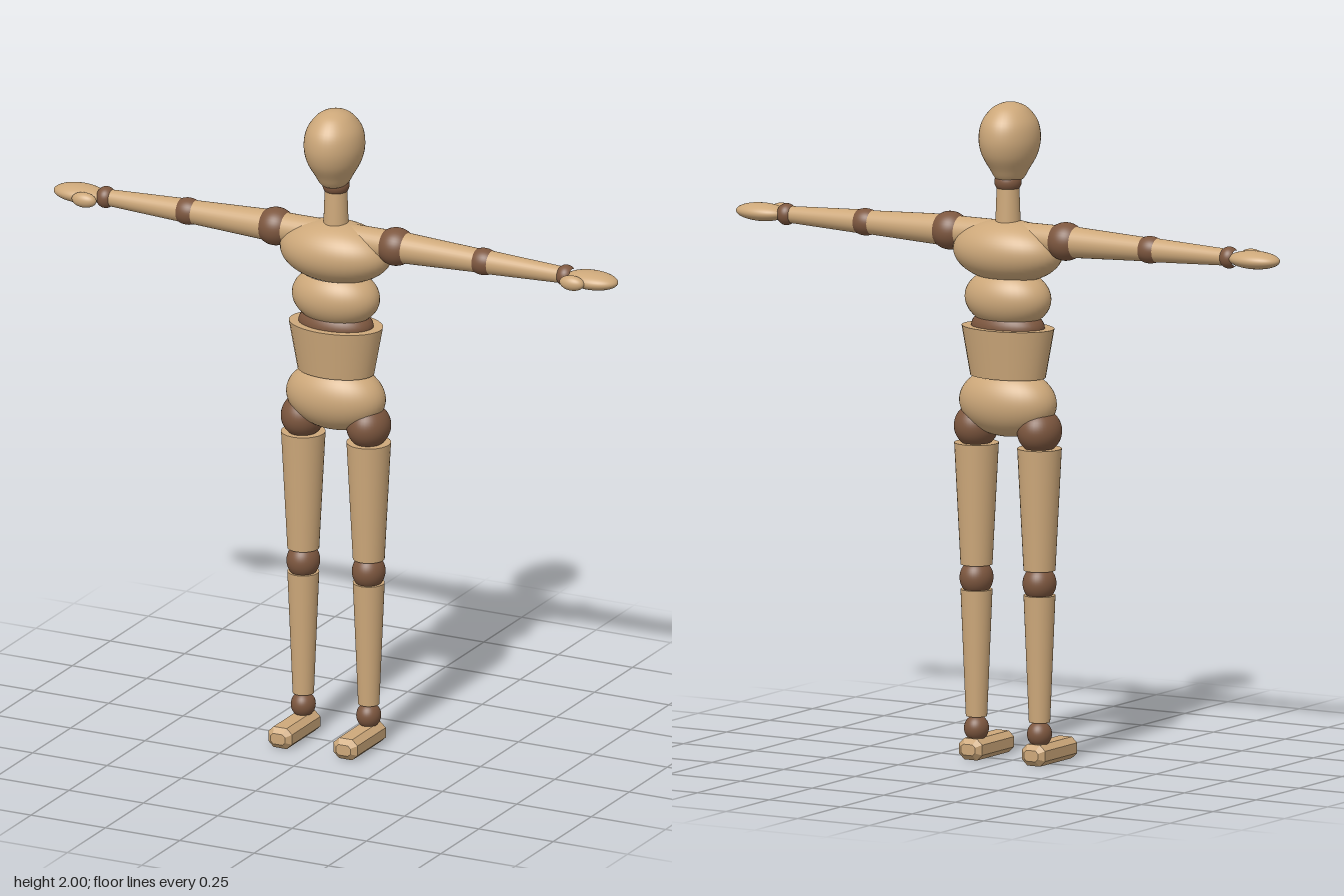
import * as THREE from 'three';

const lightWood = new THREE.MeshStandardMaterial({ color: 0xcda87a });
lightWood.name = 'lightWood';
const darkWood = new THREE.MeshStandardMaterial({ color: 0x7d573f });
darkWood.name = 'darkWood';

const AXIS_Z = -0.028; // depth of the body's centre line

function add(parent, name, geometry, material, x, y, z) {
  const mesh = new THREE.Mesh(geometry, material);
  mesh.name = name;
  mesh.position.set(x, y, z);
  parent.add(mesh);
  return mesh;
}

// Ellipsoid cut flat at heights y0 and y1 (relative to its centre)
function cutEllipsoid(rx, ry, rz, y0 = -ry, y1 = ry) {
  const a0 = Math.asin(y0 / ry), a1 = Math.asin(y1 / ry);
  const points = [];
  for (let i = 0; i <= 24; i++) {
    const a = a0 + (a1 - a0) * i / 24;
    points.push(new THREE.Vector2(Math.max(0, rx * Math.cos(a)), ry * Math.sin(a)));
  }
  const body = new THREE.LatheGeometry(points, 40);
  body.scale(1, 1, rz / rx);
  return body;
}

// Tapered round rod with flat ends
const rod = (top, bottom, length) => new THREE.CylinderGeometry(top, bottom, length, 32);

// Octagonal block with chamfered toe and heel, running along z
function footGeometry() {
  const w = 0.04, h = 0.0325, cx = 0.018, cy = 0.017, b = 0.016;
  const s = new THREE.Shape([
    [-w + cx, -h], [w - cx, -h], [w, -h + cy], [w, h - cy],
    [w - cx, h], [-w + cx, h], [-w, h - cy], [-w, -h + cy],
  ].map(([x, y]) => new THREE.Vector2(x, y)));
  const g = new THREE.ExtrudeGeometry(s, {
    depth: 0.218 - 2 * b, bevelEnabled: true, bevelSegments: 1,
    bevelThickness: b, bevelSize: b, bevelOffset: -b,
  });
  return g.translate(0, 0, b);
}

function buildTorso(root) {
  // Egg-shaped head
  const outline = new THREE.SplineCurve([
    [0, 1.755], [0.036, 1.765], [0.058, 1.8], [0.08, 1.842], [0.089, 1.89],
    [0.081, 1.94], [0.053, 1.98], [0.022, 1.997], [0, 2],
  ].map(([x, y]) => new THREE.Vector2(x, y)));
  const profile = outline.getPoints(40);
  profile.forEach(p => { p.x = Math.max(0, p.x); });
  const head = new THREE.LatheGeometry(profile, 40);
  head.scale(1, 1, 1.18);
  add(root, 'head', head, lightWood, 0, 0, -0.018);

  add(root, 'neckJoint', cutEllipsoid(0.041, 0.035, 0.041), darkWood, 0, 1.76, AXIS_Z);
  add(root, 'neck', rod(0.034, 0.039, 0.14), lightWood, 0, 1.675, AXIS_Z);
  add(root, 'chest', cutEllipsoid(0.18, 0.095, 0.112, -0.08), lightWood, 0, 1.55, AXIS_Z);
  add(root, 'ribs', cutEllipsoid(0.14, 0.092, 0.097, -0.068, 0.065), lightWood, 0, 1.408, AXIS_Z);
  add(root, 'waistJoint', cutEllipsoid(0.12, 0.06, 0.08), darkWood, 0, 1.32, AXIS_Z);
  const abdomen = add(root, 'abdomen', rod(0.15, 0.122, 0.15), lightWood, 0, 1.245, AXIS_Z);
  abdomen.scale.z = 0.69;
  add(root, 'pelvis', cutEllipsoid(0.16, 0.105, 0.1, -0.105, 0.078), lightWood, 0, 1.092, AXIS_Z);
}

function buildLeg(side) {
  const leg = new THREE.Group();
  leg.name = side > 0 ? 'leftLeg' : 'rightLeg';
  leg.position.set(side * 0.11, 0, AXIS_Z);
  add(leg, 'hipJoint', cutEllipsoid(0.066, 0.068, 0.073), darkWood, 0, 1.012, 0);
  add(leg, 'thigh', rod(0.067, 0.048, 0.37), lightWood, 0, 0.775, 0);
  add(leg, 'kneeJoint', cutEllipsoid(0.05, 0.055, 0.053), darkWood, 0, 0.55, 0);
  add(leg, 'shin', rod(0.048, 0.032, 0.385), lightWood, 0, 0.322, 0);
  add(leg, 'ankleJoint', cutEllipsoid(0.037, 0.04, 0.039), darkWood, 0, 0.093, 0);
  add(leg, 'foot', footGeometry(), lightWood, 0, 0.0325, -0.05);
  return leg;
}

// Arm modelled upright, then turned to point outwards
function buildArm(side) {
  const arm = new THREE.Group();
  arm.name = side > 0 ? 'leftArm' : 'rightArm';
  arm.position.set(0, 1.595, AXIS_Z);
  arm.rotation.z = -side * Math.PI / 2;
  add(arm, 'shoulder', rod(0.046, 0.046, 0.13), lightWood, 0, 0.12, 0);
  add(arm, 'shoulderJoint', cutEllipsoid(0.058, 0.06, 0.058, -0.036, 0.036), darkWood, 0, 0.202, 0);
  add(arm, 'upperArm', rod(0.036, 0.047, 0.25), lightWood, 0, 0.355, 0);
  add(arm, 'elbowJoint', cutEllipsoid(0.041, 0.05, 0.041, -0.026, 0.026), darkWood, 0, 0.497, 0);
  add(arm, 'forearm', rod(0.025, 0.036, 0.25), lightWood, 0, 0.64, 0);
  add(arm, 'wristJoint', cutEllipsoid(0.033, 0.03, 0.033, -0.021, 0.021), darkWood, 0, 0.773, 0);
  add(arm, 'hand', cutEllipsoid(0.027, 0.085, 0.051), lightWood, 0, 0.86, 0);
  add(arm, 'thumb', cutEllipsoid(0.023, 0.04, 0.022), lightWood, 0, 0.82, 0.053);
  return arm;
}

export function createModel() {
  const root = new THREE.Group();
  root.name = 'jointedWoodenFigure';
  buildTorso(root);
  for (const side of [-1, 1]) root.add(buildLeg(side), buildArm(side));
  return root;
}
